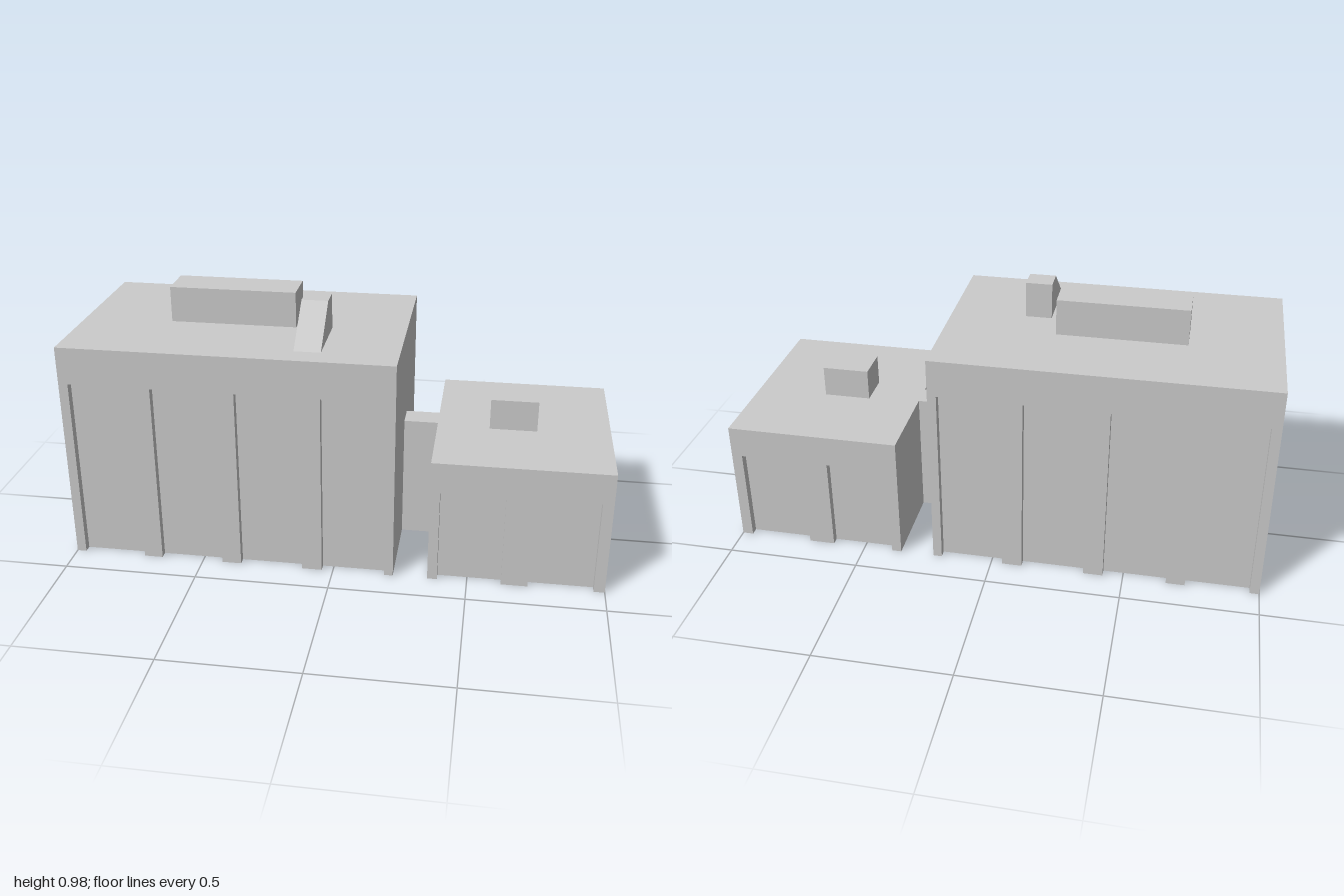
import * as THREE from 'three';

const HALF = 0.384; // half depth of both buildings
const RECESS = 0.03; // depth of the wall bays

const material = new THREE.MeshStandardMaterial({ color: 0xcccccc, flatShading: true });

function add(group, name, geometry) {
  const mesh = new THREE.Mesh(geometry, material);
  mesh.name = name;
  group.add(mesh);
}

// Box given by its minimum and maximum along each axis
function box(group, name, [x0, x1], [y0, y1], [z0, z1]) {
  const geometry = new THREE.BoxGeometry(x1 - x0, y1 - y0, z1 - z0);
  geometry.translate((x0 + x1) / 2, (y0 + y1) / 2, (z0 + z1) / 2);
  add(group, name, geometry);
}

// Block with a plain upper wall and recessed bays below it
function building(name, { x0, x1, height, bayTop, bays, sideBays = [] }) {
  const group = new THREE.Group();
  group.name = name;

  // Notched footprint, drawn as (x, -z): front, left side, back, plain right side
  const points = [[x0, -HALF]];
  for (const [a, b] of bays) {
    points.push([a, -HALF], [a, -HALF + RECESS], [b, -HALF + RECESS], [b, -HALF]);
  }
  points.push([x1, -HALF]);
  for (const [a, b] of sideBays) {
    points.push([x1, a], [x1 - RECESS, a], [x1 - RECESS, b], [x1, b]);
  }
  points.push([x1, HALF]);
  for (const [a, b] of [...bays].reverse()) {
    points.push([b, HALF], [b, HALF - RECESS], [a, HALF - RECESS], [a, HALF]);
  }
  points.push([x0, HALF]);

  const footprint = new THREE.Shape(points.map(([x, y]) => new THREE.Vector2(x, y)));
  const walls = new THREE.ExtrudeGeometry(footprint, { depth: bayTop, bevelEnabled: false });
  walls.rotateX(-Math.PI / 2);
  add(group, 'pillaredWalls', walls);
  box(group, 'upperWalls', [x0, x1], [bayTop, height], [-HALF, HALF]);
  return group;
}

export function createModel() {
  const model = new THREE.Group();
  model.name = 'twinBuildings';

  // Tall building with four bays on the front and back
  const tall = building('tallBuilding', {
    x0: -1, x1: 0.226, height: 0.84, bayTop: 0.7,
    bays: [[-0.965, -0.73], [-0.66, -0.425], [-0.352, -0.117], [-0.042, 0.193]],
  });
  box(tall, 'roofUnit', [-0.663, -0.186], [0.84, 0.975], [-0.092, 0.054]);

  // Roof stair housing with a sloping front
  const profile = new THREE.Shape([
    new THREE.Vector2(-0.295, 0.84),
    new THREE.Vector2(-0.04, 0.84),
    new THREE.Vector2(-0.04, 0.975),
    new THREE.Vector2(-0.127, 0.975),
  ]);
  const stair = new THREE.ExtrudeGeometry(profile, { depth: 0.098, bevelEnabled: false });
  stair.rotateY(Math.PI / 2);
  stair.translate(-0.15, 0, 0);
  add(tall, 'stairHousing', stair);

  // Low building, with bays on its outer side too
  const low = building('lowBuilding', {
    x0: 0.354, x1: 1, height: 0.48, bayTop: 0.362,
    bays: [[0.39, 0.625], [0.722, 0.96]],
    sideBays: [[-0.354, -0.08], [-0.048, 0.047], [0.077, 0.352]],
  });
  box(low, 'roofUnit', [0.55, 0.727], [0.48, 0.598], [-0.066, 0.068]);

  // Narrow passage joining the two
  box(model, 'passage', [0.226, 0.354], [0, 0.48], [-0.048, 0.046]);

  model.add(tall, low);
  return model;
}
